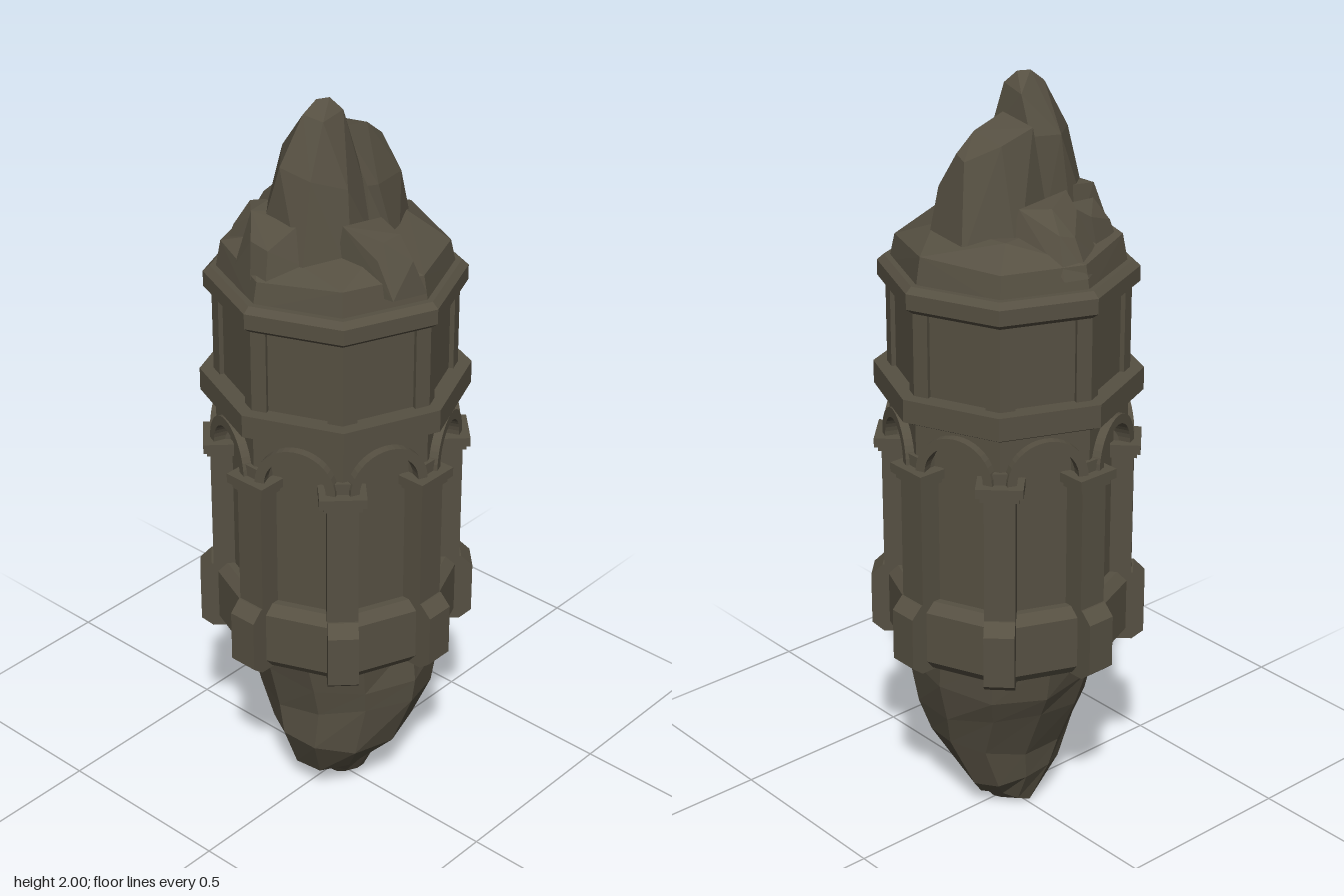
import * as THREE from 'three';
import { ConvexGeometry } from 'three/addons/geometries/ConvexGeometry.js';

const stone = new THREE.MeshStandardMaterial({ color: 0x565042 });
stone.name = 'dark stone';

// Mesh with one normal per face
function add(parent, name, geometry) {
  const geo = geometry.index ? geometry.toNonIndexed() : geometry;
  geo.computeVertexNormals();
  const mesh = new THREE.Mesh(geo, stone);
  mesh.name = name;
  parent.add(mesh);
  return mesh;
}

// Eight-sided drum section, corners on the axes
function octagon(parent, name, y0, r0, y1, r1) {
  const geo = new THREE.CylinderGeometry(r1, r0, y1 - y0, 8);
  geo.translate(0, (y0 + y1) / 2, 0);
  return add(parent, name, geo);
}

// Box reaching outward along +x from r0 to r1
function radialBox(parent, name, r0, r1, y0, y1, width) {
  const geo = new THREE.BoxGeometry(r1 - r0, y1 - y0, width);
  geo.translate((r0 + r1) / 2, (y0 + y1) / 2, 0);
  return add(parent, name, geo);
}

// Wall of one octagon side with an opening, facing +z
function wallGeometry(radius, y0, y1, hole, depth) {
  const w = radius * Math.sin(Math.PI / 8);
  const shape = new THREE.Shape([[-w, y0], [w, y0], [w, y1], [-w, y1]].map(p => new THREE.Vector2(...p)));
  shape.holes.push(hole);
  const geo = new THREE.ExtrudeGeometry(shape, { depth, bevelEnabled: false, curveSegments: 10 });
  return geo.translate(0, 0, radius * Math.cos(Math.PI / 8) - depth);
}

function archHole(half, y0, spring) {
  const hole = new THREE.Path();
  hole.moveTo(-half, y0);
  hole.lineTo(half, y0);
  hole.lineTo(half, spring);
  hole.absarc(0, spring, half, 0, Math.PI, false);
  hole.closePath();
  return hole;
}

function boulder(parent, name, points) {
  return add(parent, name, new ConvexGeometry(points.map(p => new THREE.Vector3(...p))));
}

// Tapering rock below the tower: a cylinder reshaped ring by ring
function lowerRock(parent) {
  const rings = [ // y, centre x, centre z, radius x, radius z
    [0.54, 0, 0, 0.265, 0.265], [0.43, 0, 0.015, 0.245, 0.25], [0.33, 0, 0.02, 0.225, 0.235],
    [0.21, -0.005, 0.03, 0.215, 0.175], [0.1, 0, 0.005, 0.14, 0.13], [0.02, 0.01, 0, 0.07, 0.075], [0, 0.01, 0.01, 0.04, 0.04],
  ];
  const n = 11;
  const geo = new THREE.CylinderGeometry(1, 1, 1, n, rings.length - 1);
  const pos = geo.attributes.position;
  for (let i = 0; i < pos.count; i++) {
    const x = pos.getX(i), z = pos.getZ(i);
    const row = Math.round((0.5 - pos.getY(i)) * (rings.length - 1));
    const [y, cx, cz, rx, rz] = rings[row];
    const k = (Math.round(Math.atan2(x, z) / (2 * Math.PI) * n) + n) % n;
    const rough = Math.sin(k * 12.9 + row * 7.3);
    const inner = row > 0 && row < rings.length - 1 ? 1 : 0;
    const r = 1 + 0.06 * rough * inner;
    pos.setXYZ(i, cx + x * rx * r, y + 0.02 * Math.sin(k * 5.1 + row * 3.7) * inner, cz + z * rz * r);
  }
  add(parent, 'lowerRock', geo);
}

function crag(parent) {
  const group = new THREE.Group();
  group.name = 'upperRock';
  parent.add(group);
  const base = [];
  for (let k = 0; k < 8; k++) {
    const a = k * Math.PI / 4, s = Math.sin(a), c = Math.cos(a);
    base.push([0.295 * s, 1.53, 0.295 * c], [0.28 * s, 1.605 + 0.008 * Math.sin(k * 4), 0.28 * c]);
  }
  base.push([-0.18, 1.65, -0.1], [0.14, 1.655, -0.15], [0.17, 1.65, 0.08], [-0.05, 1.65, 0.17]);
  boulder(group, 'rockBase', base);
  boulder(group, 'mainPeak', [
    [-0.19, 1.58, -0.1], [-0.2, 1.58, 0.07], [-0.1, 1.58, 0.14], [0.03, 1.58, 0.13], [0.02, 1.58, -0.13], [-0.1, 1.58, -0.13],
    [-0.175, 1.85, -0.02], [-0.155, 1.83, 0.06], [-0.08, 1.8, 0.11], [0, 1.84, 0.07], [0, 1.87, -0.08], [-0.09, 1.86, -0.09],
    [-0.115, 1.97, 0], [-0.1, 1.96, 0.05], [-0.03, 1.97, 0.05], [-0.015, 1.96, -0.03], [-0.08, 2, 0.01], [-0.05, 2, 0.025],
  ]);
  boulder(group, 'sidePeak', [
    [-0.02, 1.58, 0.13], [0.06, 1.58, 0.15], [0.2, 1.6, 0.07], [0.21, 1.6, -0.07], [0.1, 1.58, -0.15], [-0.04, 1.58, -0.12],
    [0.17, 1.75, 0.06], [0.165, 1.83, -0.03], [0.155, 1.84, 0.01], [0.1, 1.87, -0.09], [0.1, 1.885, 0.01],
    [0.01, 1.9, -0.1], [0, 1.91, 0.02], [0.04, 1.77, 0.1], [0, 1.78, 0.1],
  ]);
  boulder(group, 'frontBoulder', [
    [-0.1, 1.57, 0.27], [0, 1.56, 0.29], [0.02, 1.57, 0.12], [-0.12, 1.57, 0.1], [-0.1, 1.66, 0.22], [-0.03, 1.65, 0.27],
    [-0.08, 1.7, 0.22], [-0.02, 1.7, 0.22], [0.005, 1.71, 0.14], [-0.11, 1.72, 0.12],
  ]);
  boulder(group, 'leftBoulder', [
    [-0.27, 1.59, -0.03], [-0.27, 1.59, 0.02], [-0.24, 1.59, -0.11], [-0.12, 1.58, 0.12], [-0.1, 1.58, -0.13],
    [-0.245, 1.675, -0.05], [-0.25, 1.67, 0.01], [-0.18, 1.72, 0.04], [-0.19, 1.72, -0.1], [-0.11, 1.73, -0.1], [-0.1, 1.74, 0.08],
  ]);
  boulder(group, 'backBoulder', [
    [0, 1.57, -0.29], [0.06, 1.57, -0.27], [-0.09, 1.58, -0.24], [-0.08, 1.58, -0.1], [0.12, 1.58, -0.12],
    [0, 1.66, -0.24], [0.04, 1.67, -0.23], [-0.06, 1.7, -0.18], [0.02, 1.72, -0.18], [0.08, 1.72, -0.13], [-0.08, 1.73, -0.12],
  ]);
  boulder(group, 'backCornerBoulder', [
    [-0.19, 1.57, -0.2], [-0.09, 1.57, -0.23], [-0.2, 1.58, -0.13], [-0.06, 1.58, -0.11],
    [-0.17, 1.65, -0.18], [-0.09, 1.68, -0.2], [-0.17, 1.69, -0.12], [-0.07, 1.7, -0.13],
  ]);
}

export function createModel() {
  const model = new THREE.Group();
  model.name = 'stoneTower';
  lowerRock(model);

  // Stacked drums and mouldings
  octagon(model, 'footBevel', 0.51, 0.305, 0.535, 0.325);
  octagon(model, 'footBand', 0.535, 0.325, 0.675, 0.325);
  octagon(model, 'footSlope', 0.675, 0.325, 0.7, 0.3);
  octagon(model, 'lowerCore', 0.69, 0.28, 1.2, 0.28);
  octagon(model, 'corniceUnderside', 1.185, 0.31, 1.2, 0.335);
  octagon(model, 'middleCornice', 1.2, 0.34, 1.26, 0.34);
  octagon(model, 'upperCore', 1.25, 0.292, 1.5, 0.292);
  octagon(model, 'topCorniceUnderside', 1.475, 0.305, 1.49, 0.325);
  octagon(model, 'topCornice', 1.49, 0.325, 1.53, 0.325);
  octagon(model, 'topCorniceSlope', 1.53, 0.325, 1.545, 0.308);

  // Side walls, arches and recessed panels
  const arch = new THREE.Shape();
  arch.absarc(0, 1.07, 0.105, 0, Math.PI, false);
  arch.absarc(0, 1.07, 0.08, Math.PI, 0, true);
  arch.closePath();
  const archGeo = new THREE.ExtrudeGeometry(arch, { depth: 0.04, bevelEnabled: false, curveSegments: 10 });
  archGeo.translate(0, 0, 0.262);
  const lowerWall = wallGeometry(0.302, 0.69, 1.2, archHole(0.08, 0.695, 1.07), 0.025);
  const panel = new THREE.Path([[-0.078, 1.255], [0.078, 1.255], [0.078, 1.485], [-0.078, 1.485]].map(p => new THREE.Vector2(...p)));
  const upperWall = wallGeometry(0.305, 1.25, 1.49, panel, 0.02);

  // Buttress foot in profile, x outward
  const foot = new THREE.Shape([[0.26, 0.505], [0.325, 0.505], [0.355, 0.53], [0.355, 0.67], [0.325, 0.7], [0.26, 0.7]]
    .map(p => new THREE.Vector2(...p)));
  const footGeo = new THREE.ExtrudeGeometry(foot, { depth: 0.078, bevelEnabled: false });
  footGeo.translate(0, 0, -0.039);

  for (let k = 0; k < 8; k++) {
    const side = new THREE.Group();
    side.name = 'wallSide';
    side.rotation.y = (k + 0.5) * Math.PI / 4;
    add(side, 'archedWall', lowerWall);
    add(side, 'archMoulding', archGeo);
    add(side, 'upperWallFrame', upperWall);

    const pillar = new THREE.Group();
    pillar.name = 'cornerPillar';
    pillar.rotation.y = k * Math.PI / 4;
    add(pillar, 'pillarFoot', footGeo);
    radialBox(pillar, 'pillarShaft', 0.26, 0.32, 0.69, 1.035, 0.078);
    radialBox(pillar, 'capitalNeck', 0.26, 0.328, 1.03, 1.05, 0.096);
    radialBox(pillar, 'capitalSlab', 0.26, 0.337, 1.045, 1.07, 0.118);
    radialBox(pillar, 'archSpringer', 0.26, 0.31, 1.07, 1.1, 0.06);
    model.add(side, pillar);
  }

  crag(model);
  return model;
}
